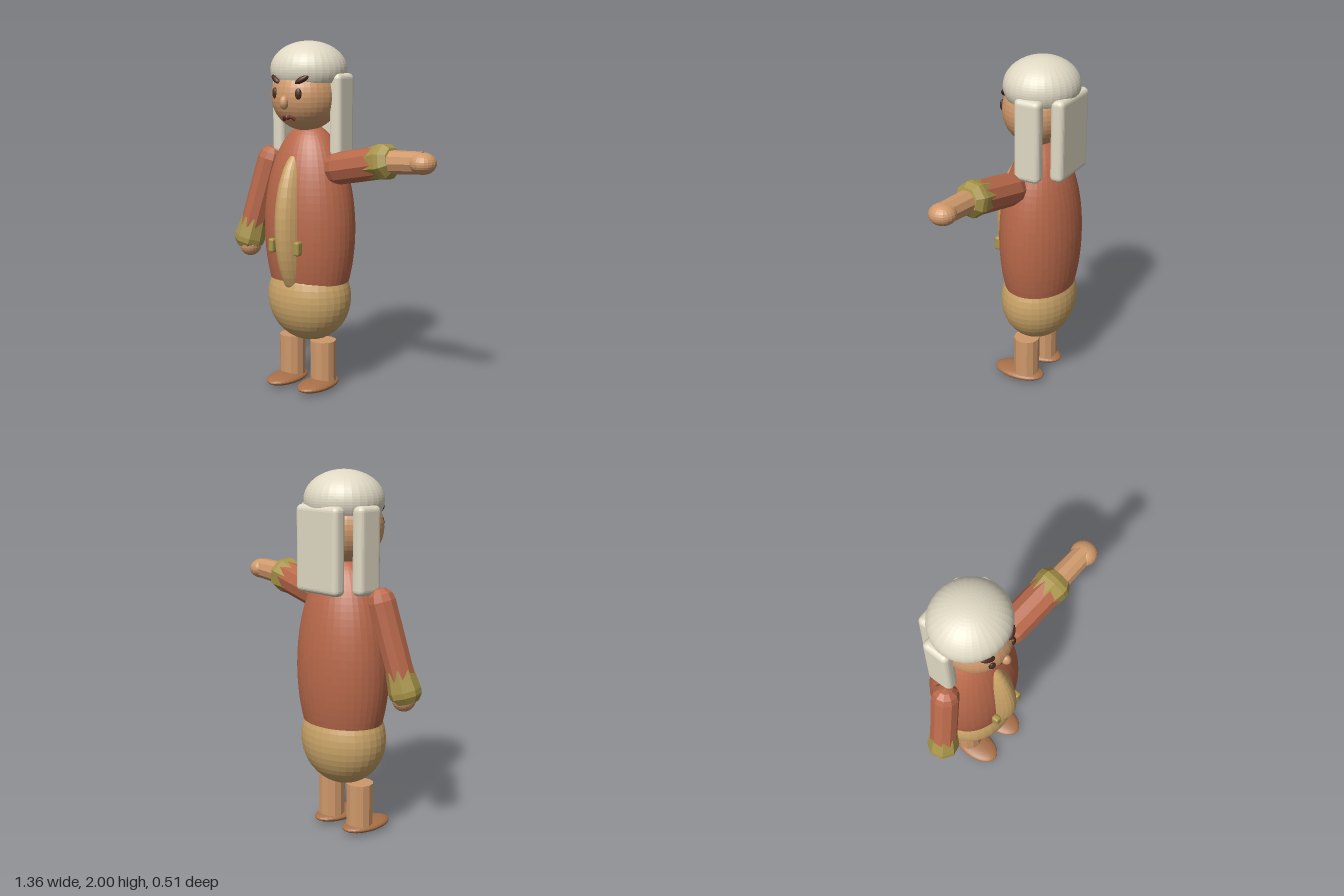
import * as THREE from 'three';
import { RoundedBoxGeometry } from 'three/addons/geometries/RoundedBoxGeometry.js';

const V = (x, y, z) => new THREE.Vector3(x, y, z);
const mat = (color) => new THREE.MeshStandardMaterial({ color, flatShading: true, side: THREE.DoubleSide });

export function createModel() {
  const model = new THREE.Group();
  const coat = mat(0xb9694b), tan = mat(0xcaa468), skin = mat(0xcf996b), hair = mat(0xe0d9c4);
  const trim = mat(0xa8944a), shoe = mat(0xa87048), dark = mat(0x4a2c20), lip = mat(0x6e3028);
  const CX = -0.215; // body axis

  const add = (name, geometry, material, pos, parent = model) => {
    const mesh = new THREE.Mesh(geometry, material);
    mesh.name = name;
    mesh.position.copy(pos);
    parent.add(mesh);
    return mesh;
  };
  // Ellipsoid, optionally cut open below height cutY (relative to its centre)
  const ellipsoid = (name, material, pos, r, cutY = -r.y, seg = 32) => {
    const theta = Math.acos(cutY / r.y);
    const g = new THREE.SphereGeometry(1, seg, Math.round(seg * 0.7), 0, Math.PI * 2, 0, theta);
    return add(name, g.scale(r.x, r.y, r.z), material, pos);
  };
  // Lathe running from point a toward point b; profile is [radius, distance] pairs
  const limb = (name, material, a, b, profile, sides, spin = 0) => {
    const g = new THREE.LatheGeometry(profile.map(([r, d]) => new THREE.Vector2(r, d)), sides);
    g.rotateY(spin);
    const mesh = add(name, g, material, a);
    mesh.quaternion.setFromUnitVectors(V(0, 1, 0), b.clone().sub(a).normalize());
    return mesh;
  };
  const sleeve = (r, len) => [[0.001, -r], [r * 0.5, -r * 0.87], [r * 0.87, -r * 0.5], [r, 0], [r, len], [0.001, len + 0.02]];
  const cuff = (r) => [[r * 0.93, 0], [r * 1.02, 0.06], [r * 1.12, 0.12], [r * 1.08, 0.15], [r * 0.78, 0.185], [0.001, 0.19]];

  // Body
  ellipsoid('coatBody', coat, V(CX, 0.94, -0.03), V(0.28, 0.6, 0.225), -0.305, 40);
  ellipsoid('hips', tan, V(CX, 0.535, -0.024), V(0.257, 0.26, 0.214));
  ellipsoid('frontPanel', tan, V(CX, 0.965, 0.05), V(0.1, 0.435, 0.208));
  for (const s of [-1, 1])
    add(s < 0 ? 'rightButton' : 'leftButton', new RoundedBoxGeometry(0.038, 0.08, 0.045, 2, 0.012), trim, V(CX + s * 0.09, 0.86, 0.2));

  // Legs and shoes
  for (const s of [-1, 1]) {
    const side = s < 0 ? 'right' : 'left', x = CX + s * 0.113;
    add(side + 'Leg', new THREE.CylinderGeometry(0.076, 0.076, 0.24, 12), skin, V(x, 0.17, -0.005));
    ellipsoid(side + 'Shoe', shoe, V(x, 0.036, 0.045), V(0.092, 0.032, 0.16));
  }

  // Lowered right arm
  const rs = V(-0.475, 1.325, 0), re = V(-0.585, 0.9, 0.05);
  const rCuff = rs.clone().lerp(re, 0.83);
  limb('rightSleeve', coat, rs, re, sleeve(0.076, 0.42), 10);
  limb('rightCuff', trim, rCuff, re, cuff(0.08), 8, 0.2);
  ellipsoid('rightHand', skin, V(-0.588, 0.81, 0.06), V(0.064, 0.068, 0.066), undefined, 20);

  // Outstretched left arm
  const ls = V(0.04, 1.307, 0.025), le = V(0.4, 1.377, 0.063);
  const lCuff = ls.clone().lerp(le, 0.54);
  limb('leftSleeve', coat, ls, le, sleeve(0.092, 0.31), 10);
  limb('leftCuff', trim, lCuff, le, cuff(0.091), 8, 0.2);
  limb('leftForearm', skin, V(0.36, 1.368, 0.062), V(0.6, 1.381, 0.078), [[0.066, 0], [0.06, 0.24]], 10);
  ellipsoid('leftHand', skin, V(0.605, 1.379, 0.08), V(0.072, 0.058, 0.075), undefined, 20);

  // Head and face
  ellipsoid('head', skin, V(CX, 1.695, 0), V(0.195, 0.195, 0.195));
  ellipsoid('nose', skin, V(CX, 1.667, 0.195), V(0.025, 0.038, 0.028), undefined, 16);
  for (const s of [-1, 1]) {
    const side = s < 0 ? 'right' : 'left';
    const eye = ellipsoid(side + 'Eye', dark, V(CX + s * 0.082, 1.715, 0.174), V(0.019, 0.031, 0.014), undefined, 16);
    eye.rotation.y = s * 0.43;
    const brow = ellipsoid(side + 'Brow', dark, V(CX + s * 0.09, 1.792, 0.152), V(0.044, 0.017, 0.022), undefined, 16);
    brow.rotation.set(0, s * 0.5, s * 0.5);
  }
  const frown = new THREE.CatmullRomCurve3([
    V(-0.04, 1.57, 0.147), V(-0.018, 1.588, 0.163), V(0, 1.58, 0.164), V(0.018, 1.588, 0.163), V(0.04, 1.57, 0.147)]);
  add('mouth', new THREE.TubeGeometry(frown, 16, 0.011, 8), lip, V(CX, 0, 0));

  // Hair: rounded cap with hanging slabs at the sides and back
  ellipsoid('hairCap', hair, V(CX, 1.84, -0.028), V(0.22, 0.16, 0.211), -0.068);
  for (const s of [-1, 1])
    add(s < 0 ? 'rightHairPanel' : 'leftHairPanel', new RoundedBoxGeometry(0.078, 0.465, 0.155, 3, 0.03), hair, V(CX + s * 0.203, 1.59, -0.061));
  add('backHairPanel', new RoundedBoxGeometry(0.315, 0.465, 0.08, 3, 0.03), hair, V(CX, 1.588, -0.199));

  return model;
}
